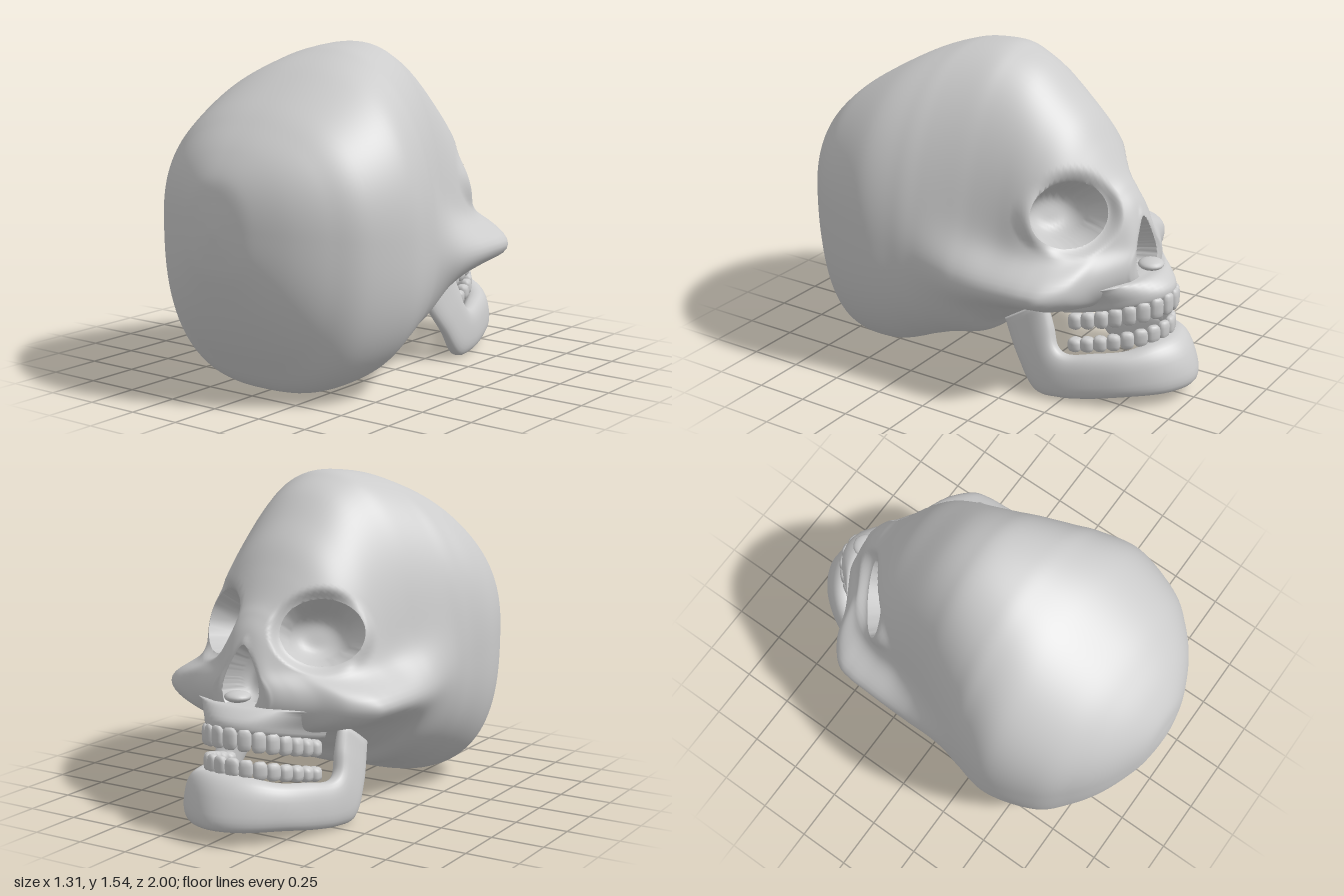
import * as THREE from 'three';

const V3 = (x, y, z) => new THREE.Vector3(x, y, z);
const { smoothstep, lerp } = THREE.MathUtils;
const grey = new THREE.MeshStandardMaterial({ color: 0xcccccc, side: THREE.DoubleSide });

// Skin a list of closed rings and cap both ends.
function loft(rings) {
  const n = rings[0].length, pos = [], idx = [];
  rings.forEach(r => r.forEach(p => pos.push(p.x, p.y, p.z)));
  for (let i = 0; i < rings.length - 1; i++)
    for (let j = 0; j < n; j++) {
      const k = (j + 1) % n, a = i * n + j, b = i * n + k;
      idx.push(a, a + n, b, b, a + n, b + n);
    }
  [0, rings.length - 1].forEach(i => {
    const c = rings[i].reduce((s, p) => s.add(p), V3(0, 0, 0)).divideScalar(n), m = pos.length / 3;
    pos.push(c.x, c.y, c.z);
    for (let j = 0; j < n; j++) {
      const a = i * n + j, b = i * n + (j + 1) % n;
      if (i === 0) idx.push(m, a, b); else idx.push(m, b, a);
    }
  });
  const g = new THREE.BufferGeometry();
  g.setAttribute('position', new THREE.Float32BufferAttribute(pos, 3));
  g.setIndex(idx);
  g.computeVertexNormals();
  return g;
}

// Smoothly interpolate a table of stations.
function sample(table, steps) {
  const f = new THREE.CubicInterpolant(table.map((_, i) => i), table.flat(), table[0].length);
  const count = (table.length - 1) * steps;
  return Array.from({ length: count + 1 }, (_, i) => Array.from(f.evaluate(i / steps)));
}

// Flatten the surface around an oval rim, then press a hollow inside it.
function carve(p, o) {
  const d = p.clone().sub(o.c), h = d.dot(o.n), x = d.dot(o.u), y = d.dot(o.v);
  const v = y / o.b, u = x / (o.a * Math.max(0.2, 1 - o.taper * v)), r = Math.hypot(u, v);
  if (r > 1.3 || Math.abs(h) > o.reach) return;
  const flat = (1 - smoothstep(r, 1, 1.3)) * (1 - smoothstep(Math.abs(h), o.reach * 0.7, o.reach));
  p.addScaledVector(o.n, -h * flat);
  if (r >= 1) return;
  if (r > 0.82) {
    p.addScaledVector(o.u, x * (1 / r - 1)).addScaledVector(o.v, y * (1 / r - 1));
  } else {
    p.addScaledVector(o.n, -o.depth * Math.sqrt(1 - Math.pow(r / 0.85, 4)));
  }
}

function socket(side) {
  const n = V3(side * 0.56, 0.3, -0.77).normalize();
  const u = V3(side * 0.81, 0, 0.585).normalize();
  const v = n.clone().cross(u).normalize();
  if (v.y < 0) v.negate();
  return { c: V3(side * 0.265, 0.88, -0.475), n, u, v, a: 0.19, b: 0.15, depth: 0.22, reach: 0.2, taper: 0 };
}

function craniumGeometry() {
  // z, base y, centre y, crown y, vault half-width, cheek half-width, cheek half-height
  const stations = [
    [1.0, 0.76, 0.78, 0.80, 0.02, 0.01, 0.01],
    [0.99, 0.66, 0.78, 0.90, 0.10, 0.01, 0.01],
    [0.965, 0.54, 0.78, 1.01, 0.20, 0.01, 0.01],
    [0.89, 0.34, 0.77, 1.12, 0.355, 0.02, 0.02],
    [0.79, 0.16, 0.76, 1.215, 0.48, 0.04, 0.04],
    [0.66, 0.015, 0.74, 1.31, 0.585, 0.08, 0.08],
    [0.43, 0.015, 0.71, 1.44, 0.655, 0.20, 0.15],
    [0.25, 0.08, 0.66, 1.51, 0.62, 0.38, 0.22],
    [0.14, 0.115, 0.63, 1.535, 0.575, 0.48, 0.24],
    [0, 0.145, 0.59, 1.545, 0.52, 0.54, 0.22],
    [-0.09, 0.23, 0.575, 1.52, 0.485, 0.56, 0.20],
    [-0.20, 0.30, 0.57, 1.46, 0.455, 0.57, 0.17],
    [-0.32, 0.38, 0.57, 1.35, 0.44, 0.57, 0.15],
    [-0.42, 0.42, 0.57, 1.25, 0.41, 0.57, 0.14],
    [-0.50, 0.42, 0.57, 1.14, 0.36, 0.55, 0.14],
    [-0.58, 0.42, 0.58, 1.02, 0.27, 0.46, 0.14],
    [-0.63, 0.43, 0.59, 0.96, 0.21, 0.33, 0.14],
    [-0.68, 0.45, 0.60, 0.89, 0.155, 0.24, 0.13],
    [-0.72, 0.46, 0.61, 0.79, 0.12, 0.17, 0.11],
    [-0.735, 0.50, 0.61, 0.70, 0.10, 0.13, 0.09],
    [-0.74, 0.60, 0.61, 0.62, 0.01, 0.01, 0.01]];
  const nose = {
    c: V3(0, 0.69, -0.725), n: V3(0, 0.12, -1).normalize(), u: V3(1, 0, 0), v: V3(0, 1, 0.12).normalize(),
    a: 0.088, b: 0.15, depth: 0.15, reach: 0.1, taper: 0.55 };
  const hollows = [socket(1), socket(-1), nose];
  const polar = (c, s, a, b, e) =>
    Math.pow(Math.pow(Math.abs(c) / a, e) + Math.pow(Math.abs(s) / b, e), -1 / e);
  const rings = sample(stations, 8).map(([z, yb, yc, yt, wc, wk, hk]) => {
    const rear = smoothstep(z, -0.5, 0.6);
    return Array.from({ length: 160 }, (_, j) => {
      const t = j / 160 * Math.PI * 2, c = Math.cos(t), s = Math.sin(t);
      const vault = s > 0 ? polar(c, s, wc, yt - yc, 2.1 + 0.2 * rear) : polar(c, s, wc, yc - yb, 2.1 + 0.6 * rear);
      const cheek = polar(c, s, wk, hk, 2);
      // blended union of the vault and the cheek ridge
      const m = Math.max(vault, cheek);
      const r = m * Math.pow(Math.pow(vault / m, 6) + Math.pow(cheek / m, 6), 1 / 6);
      const p = V3(c * r, yc + s * r, z);
      hollows.forEach(o => carve(p, o));
      return p;
    });
  });
  return loft(rings);
}

function upperJawGeometry() {
  // level y, half-width, front z, forward rise
  const levels = [
    [0.41, 0.18, -0.80, 0.22], [0.39, 0.25, -0.86, 0.23], [0.44, 0.275, -0.86, 0.22],
    [0.505, 0.33, -0.80, 0.20], [0.54, 0.37, -0.745, 0.12], [0.55, 0.15, -0.70, 0.1]];
  return loft(sample(levels, 4).map(([y, w, zf, rise]) =>
    Array.from({ length: 64 }, (_, j) => {
      const t = j / 64 * Math.PI * 2, s = Math.sin(t);
      const z = -0.45 + s * (s < 0 ? -0.45 - zf : 0.06);
      return V3(w * Math.cos(t), y + rise * (-0.45 - z), z);
    })));
}

function lowerJawGeometry() {
  // x, lower edge z and y, upper edge z and y, half-thickness, outward lean
  const half = [
    [0.30, -0.16, 0.31, -0.36, 0.435, 0.03, 0],
    [0.305, -0.19, 0.26, -0.385, 0.42, 0.04, 0],
    [0.325, -0.27, 0.14, -0.42, 0.34, 0.045, -0.01],
    [0.335, -0.36, 0.015, -0.45, 0.25, 0.05, -0.01],
    [0.325, -0.48, 0.005, -0.51, 0.215, 0.05, -0.01],
    [0.285, -0.62, 0.02, -0.62, 0.23, 0.055, -0.01],
    [0.22, -0.77, 0.045, -0.75, 0.25, 0.06, -0.01],
    [0.12, -0.90, 0.055, -0.83, 0.28, 0.065, -0.005]];
  const mirrored = half.slice().reverse().map(([x, ...rest]) => [-x, ...rest]);
  const rows = sample([...half, [0, -0.95, 0.06, -0.86, 0.29, 0.075, 0], ...mirrored], 6);
  const mid = rows.map(([x, zl, , zu]) => V3(x, 0, (zl + zu) / 2));
  return loft(rows.map(([x, zl, yl, zu, yu, t, lean], i) => {
    const tan = mid[Math.min(i + 1, rows.length - 1)].clone().sub(mid[Math.max(i - 1, 0)]).normalize();
    const out = V3(-tan.z, 0, tan.x);
    const h = V3(lean * Math.sign(x), (yu - yl) / 2, (zu - zl) / 2);
    return Array.from({ length: 28 }, (_, j) => {
      const a = j / 28 * Math.PI * 2, c = Math.cos(a), s = Math.sin(a);
      const round = q => Math.sign(q) * Math.pow(Math.abs(q), 0.8);
      return V3(x, (yl + yu) / 2, (zl + zu) / 2).addScaledVector(out, t * round(c)).addScaledVector(h, round(s));
    });
  }));
}

// A row of teeth along an elliptical arch rising to the front.
function teeth(name, w, len, yBack, yFront, height) {
  const row = new THREE.Group();
  row.name = name;
  // sphere swelled into a rounded block
  const geo = new THREE.SphereGeometry(0.5, 12, 10);
  const p = geo.attributes.position;
  for (let i = 0; i < p.count; i++) {
    const q = V3().fromBufferAttribute(p, i);
    const k = Math.pow(q.x ** 4 + q.y ** 4 + q.z ** 4, -0.25) * 0.5;
    p.setXYZ(i, q.x * k, q.y * k, q.z * k);
  }
  geo.computeVertexNormals();
  const arch = new THREE.EllipseCurve(0, 0, w, len, 0, Math.PI).getSpacedPoints(15);
  arch.forEach((a, i) => {
    const f = a.y / len, tooth = new THREE.Mesh(geo, grey);
    tooth.name = 'tooth' + (i + 1);
    tooth.position.set(a.x, lerp(yBack, yFront, f), -0.5 - a.y);
    tooth.rotation.y = Math.atan2(a.x / (w * w), -a.y / (len * len));
    tooth.scale.set(0.062, lerp(height * 0.75, height, f), lerp(0.065, 0.04, f));
    row.add(tooth);
  });
  return row;
}

export function createModel() {
  const skull = new THREE.Group();
  skull.name = 'skull';
  const add = (name, geo) => {
    const m = new THREE.Mesh(geo, grey);
    m.name = name;
    skull.add(m);
    return m;
  };
  add('cranium', craniumGeometry());
  add('upperJaw', upperJawGeometry());
  add('lowerJaw', lowerJawGeometry());
  // small bony bump under the nose opening
  const spine = add('nasalSpine', new THREE.SphereGeometry(1, 20, 12));
  spine.scale.set(0.06, 0.025, 0.06);
  spine.position.set(0, 0.615, -0.755);
  skull.add(teeth('upperTeeth', 0.235, 0.365, 0.355, 0.455, 0.1));
  skull.add(teeth('lowerTeeth', 0.235, 0.35, 0.235, 0.32, 0.085));
  return skull;
}
